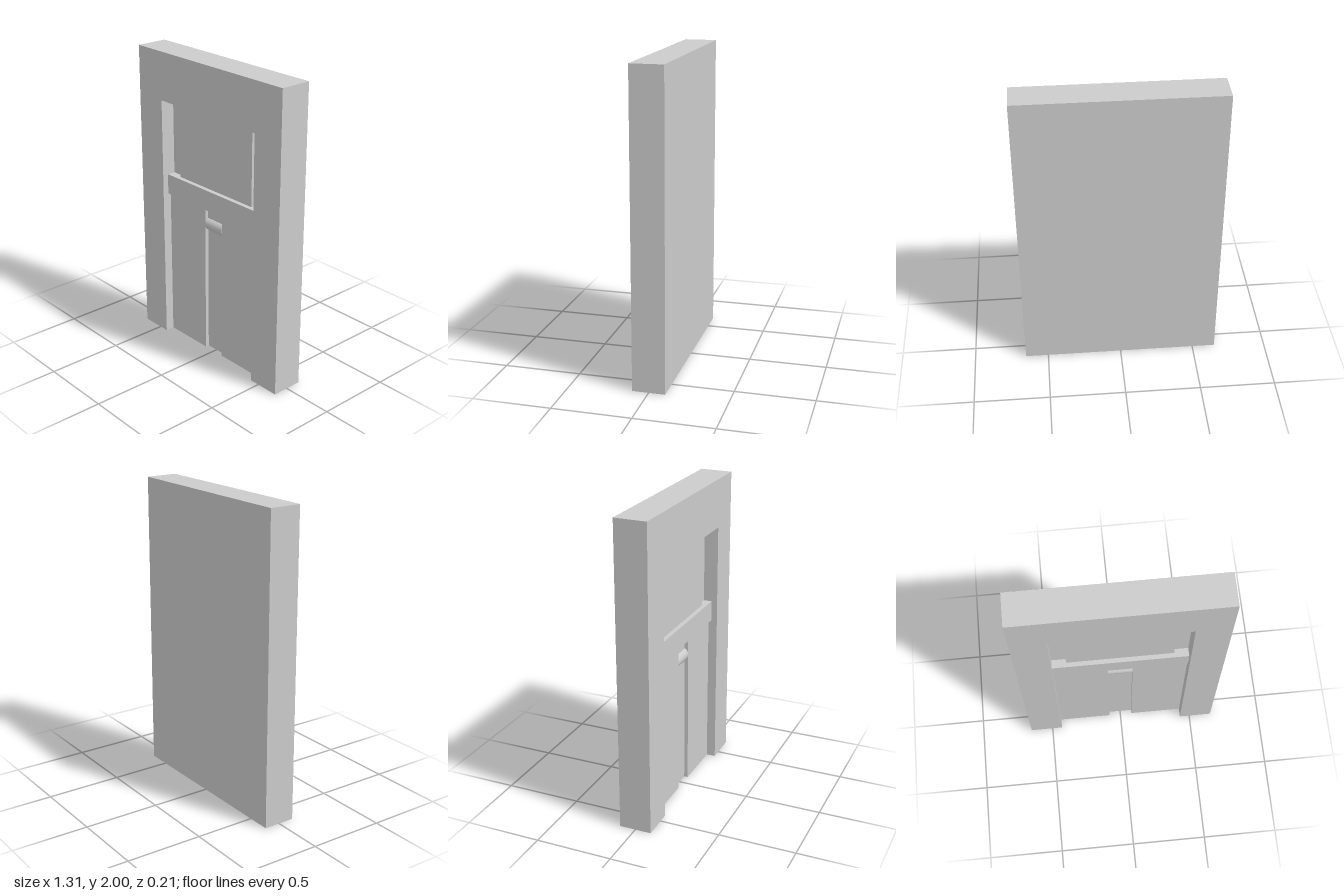
import * as THREE from 'three';

export function createModel() {
  const group = new THREE.Group();
  const material = new THREE.MeshStandardMaterial({ color: 0xcccccc });

  const W = 0.653, H = 2, FRONT = 0.105;   // half width, height, front plane
  const IN = 0.432, TOP = 1.68;            // recess half width and height
  const FLOOR = 0.01;                      // deepest plane of the recess

  const add = (name, geometry) => {
    const mesh = new THREE.Mesh(geometry, material);
    mesh.name = name;
    group.add(mesh);
    return mesh;
  };
  const block = (name, x0, x1, y0, y1, z0, z1) =>
    add(name, new THREE.BoxGeometry(x1 - x0, y1 - y0, z1 - z0))
      .position.set((x0 + x1) / 2, (y0 + y1) / 2, (z0 + z1) / 2);

  // Solid rear slab
  block('backSlab', -W, W, 0, H, -FRONT, FLOOR);

  // Surround with a doorway-shaped recess open at the bottom
  const outline = new THREE.Shape([
    [-W, 0], [-IN, 0], [-IN, TOP], [IN, TOP], [IN, 0], [W, 0], [W, H], [-W, H],
  ].map(([x, y]) => new THREE.Vector2(x, y)));
  const frame = add('frame', new THREE.ExtrudeGeometry(outline, { depth: FRONT - FLOOR, bevelEnabled: false }));
  frame.position.z = FLOOR;

  // Upper window panel with a thin strip above it
  block('upperPanel', -0.34, 0.34, 1.165, 1.66, FLOOR, 0.035);
  block('topStrip', -IN, IN, 1.66, TOP, FLOOR, 0.04);

  // Cross bar
  block('crossBar', -IN, IN, 1.028, 1.165, FLOOR, 0.065);

  // Lower panels either side of the central slot
  for (const [name, x0, x1] of [['rightLowerPanel', -IN, -0.08], ['leftLowerPanel', 0.08, IN]]) {
    block(name, x0, x1, 0, 1.028, FLOOR, 0.045);
  }
  block('slotBack', -0.08, 0.08, 0, 1.028, FLOOR, 0.02);

  // Round roller set in the slot
  const roller = add('roller', new THREE.CylinderGeometry(0.044, 0.044, 0.16, 32));
  roller.rotation.z = Math.PI / 2;
  roller.position.set(0, 0.911, 0.003);

  return group;
}
